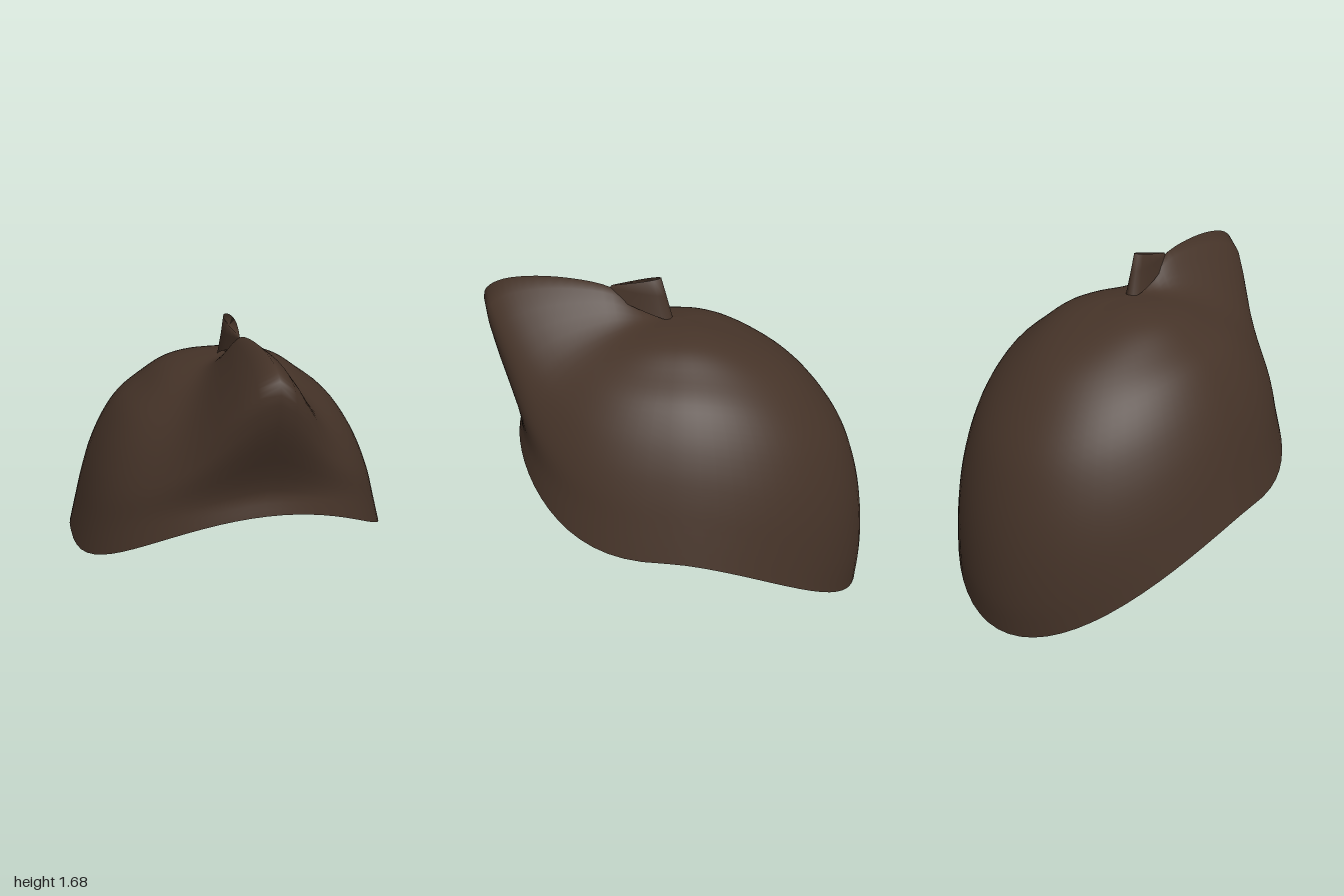
import * as THREE from 'three';

const TOP = 1.485;
const SEG = 72, ROWS = 36;

// Meridian profiles from crown to rim: [outward share, height share]
const toCurve = pts => new THREE.CatmullRomCurve3(pts.map(([u, h]) => new THREE.Vector3(u, h, 0)));
const sideProfile = toCurve([[0, 1], [0.2, 0.985], [0.37, 0.94], [0.51, 0.854], [0.65, 0.757],
  [0.756, 0.627], [0.84, 0.476], [0.9, 0.324], [0.95, 0.165], [1, 0]]);
const backProfile = toCurve([[0, 1], [0.17, 0.98], [0.37, 0.93], [0.57, 0.85], [0.73, 0.74],
  [0.86, 0.61], [0.94, 0.468], [0.99, 0.31], [1.01, 0.13], [1, 0]]);
const frontProfile = toCurve([[0, 1], [0.17, 0.99], [0.37, 0.94], [0.55, 0.85], [0.7, 0.73],
  [0.82, 0.6], [0.9, 0.47], [0.96, 0.33], [0.98, 0.16], [1, 0]]);
const quiffProfile = toCurve([[0, 1], [0.18, 1.02], [0.41, 1.27], [0.65, 1.35], [0.92, 1.36],
  [1.09, 1.31], [1.175, 1.21], [1.15, 0.88], [0.977, 0.22], [1, 0]]);

// Rim of the shell at an angle measured from the front
function rimPoint(a) {
  const c = Math.cos(a), k = Math.abs(c);
  return c > 0
    ? new THREE.Vector3(0.82 * Math.sin(a), 0.56 + 0.38 * Math.pow(k, 2.1), 0.85 * Math.pow(k, 0.8))
    : new THREE.Vector3(0.82 * Math.sin(a), 0.56 - 0.55 * Math.pow(k, 1.75), -0.99 * k);
}

// Dome with the pointed quiff swelling out of its front
function shellPoint(a, t) {
  const c = Math.cos(a);
  const p = sideProfile.getPoint(t).lerp((c > 0 ? frontProfile : backProfile).getPoint(t), c * c);
  const off = Math.abs(Math.atan2(Math.sin(a), c)) / THREE.MathUtils.degToRad(17);
  p.lerp(quiffProfile.getPoint(t), Math.exp(-Math.pow(off, 1.5)));
  const rim = rimPoint(a);
  return [rim.x * p.x, rim.y + p.y * (TOP - rim.y), rim.z * p.x];
}

// Rings of points around a first centre point, joined into a skin
function skin(centre, rings) {
  const n = rings[0].length, pos = [...centre], idx = [];
  rings.forEach(ring => ring.forEach(p => pos.push(...p)));
  const at = (j, i) => 1 + j * n + (i % n);
  for (let i = 0; i < n; i++) {
    idx.push(0, at(0, i), at(0, i + 1));
    for (let j = 0; j < rings.length - 1; j++) {
      idx.push(at(j, i), at(j + 1, i), at(j + 1, i + 1));
      idx.push(at(j, i), at(j + 1, i + 1), at(j, i + 1));
    }
  }
  const g = new THREE.BufferGeometry();
  g.setAttribute('position', new THREE.Float32BufferAttribute(pos, 3));
  g.setIndex(idx);
  g.computeVertexNormals();
  return g;
}

// Teardrop ring: round at the back, pointed at the front
function teardrop(zBack, zFront, yBack, yFront, halfWidth) {
  return Array.from({ length: 16 }, (_, i) => {
    const a = (i / 16) * Math.PI * 2, s = (1 + Math.cos(a)) / 2;
    return [halfWidth * Math.sin(a) * (1.3 - s), THREE.MathUtils.lerp(yBack, yFront, s),
      THREE.MathUtils.lerp(zBack, zFront, s)];
  });
}

export function createModel() {
  const group = new THREE.Group();
  group.name = 'hair';
  const brown = new THREE.MeshStandardMaterial({ color: 0x453328, side: THREE.DoubleSide });
  brown.name = 'darkBrown';

  const rings = [];
  for (let j = 1; j <= ROWS; j++) {
    rings.push(Array.from({ length: SEG }, (_, i) => shellPoint((i / SEG) * Math.PI * 2, j / ROWS)));
  }
  const shell = new THREE.Mesh(skin([0, TOP, 0], rings), brown);
  shell.name = 'hairShell';

  // Small upright tuft behind the quiff
  const tuft = new THREE.Mesh(skin([0, 1.65, 0.17], [
    teardrop(0.1, 0.35, 1.69, 1.645, 0.028),
    teardrop(0.075, 0.36, 1.6, 1.63, 0.034),
    teardrop(0.04, 0.38, 1.47, 1.6, 0.05),
  ]), brown);
  tuft.name = 'tuft';

  group.add(shell, tuft);
  return group;
}
